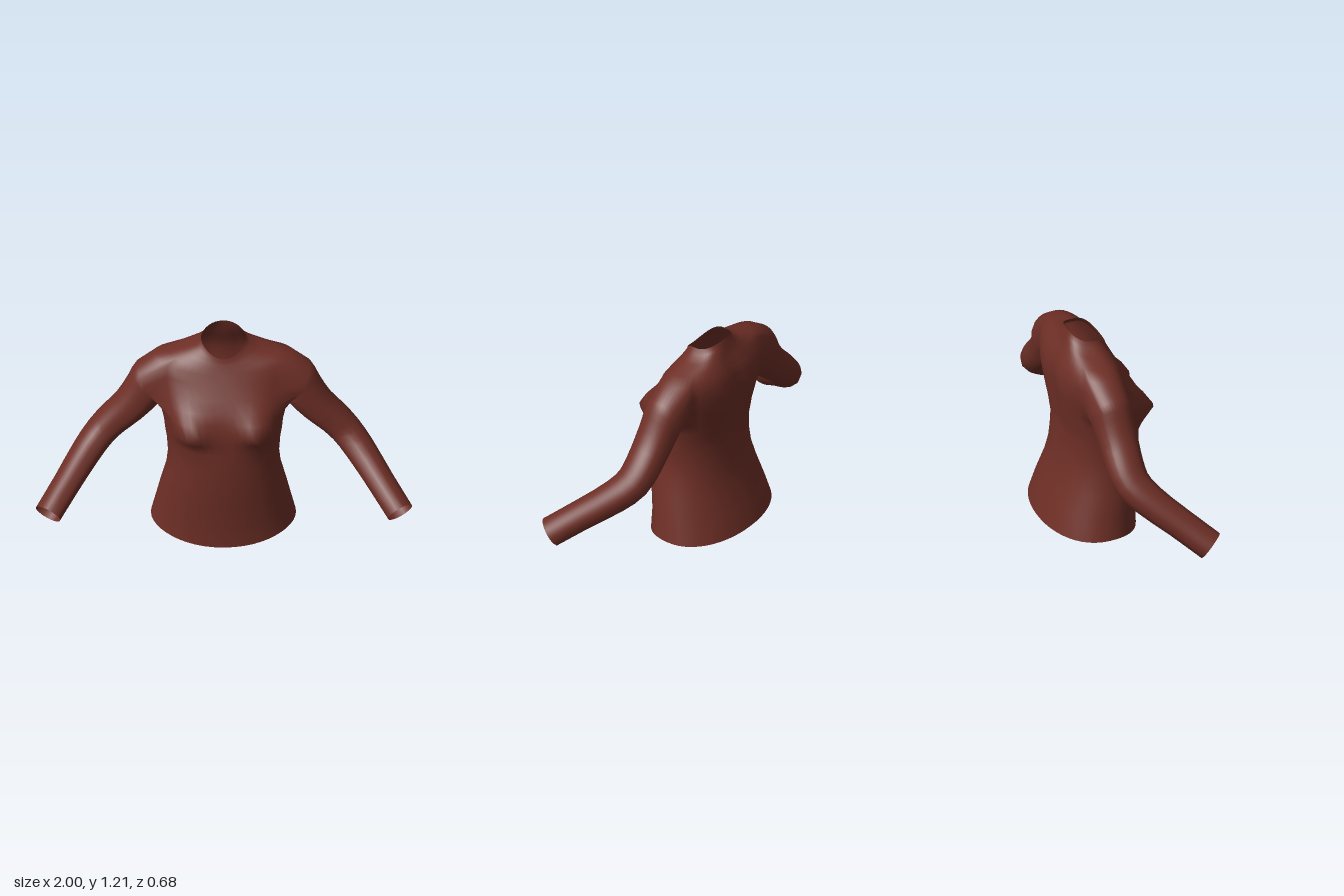
import * as THREE from 'three';

const COLS = 48;          // vertices around the body
const HALF = 5;           // half width of the armhole, in columns
const ROW0 = 8, ROW1 = 12; // armhole bottom and top rings

// Body rings, hem to collar: half width, front z, back z, then y at front, side, back
const RINGS = [
  [0.385, 0.18, -0.34, 0, 0.06, 0.06],
  [0.36, 0.18, -0.305, 0.12, 0.17, 0.18],
  [0.333, 0.198, -0.258, 0.27, 0.3, 0.31],
  [0.305, 0.205, -0.237, 0.4, 0.41, 0.42],
  [0.295, 0.21, -0.23, 0.5, 0.5, 0.5],
  [0.302, 0.208, -0.222, 0.6, 0.6, 0.6],
  [0.312, 0.208, -0.23, 0.66, 0.66, 0.66],
  [0.318, 0.208, -0.238, 0.72, 0.72, 0.72],
  [0.335, 0.195, -0.25, 0.785, 0.785, 0.79],
  [0.35, 0.175, -0.26, 0.84, 0.85, 0.86],
  [0.365, 0.14, -0.266, 0.9, 0.92, 0.93],
  [0.378, 0.1, -0.26, 0.97, 1.0, 1.0],
  [0.37, 0.075, -0.24, 1.015, 1.068, 1.055],
  [0.29, 0.06, -0.215, 1.045, 1.09, 1.1],
  [0.2, 0.047, -0.197, 1.07, 1.115, 1.145],
  [0.138, 0.042, -0.185, 1.085, 1.14, 1.18],
  [0.12, 0.037, -0.175, 1.1, 1.17, 1.21],
];

// Sleeve sections, shoulder to cuff: centre x, y, z, then outward and forward radii
const SLEEVE = [
  [0.405, 0.895, -0.08, 0.12, 0.12],
  [0.425, 0.845, -0.075, 0.11, 0.113],
  [0.5, 0.745, -0.072, 0.096, 0.107],
  [0.58, 0.665, -0.074, 0.088, 0.104],
  [0.65, 0.59, -0.06, 0.083, 0.1],
  [0.72, 0.515, 0.0, 0.08, 0.092],
  [0.83, 0.395, 0.14, 0.073, 0.084],
  [0.935, 0.28, 0.275, 0.071, 0.083],
];

const bell = (d, width) => Math.exp(-((d / width) ** 2));

function bodyPoint([hw, zf, zb, yf, ys, yb], j) {
  const a = (j / COLS) * Math.PI * 2;
  const c = Math.cos(a), s = Math.sin(a);
  const x = hw * Math.sign(c) * Math.abs(c) ** 0.95;
  const y = ys + ((s > 0 ? yf : yb) - ys) * s * s;
  let z = (zf + zb) / 2 + ((zf - zb) / 2) * Math.sign(s) * Math.abs(s) ** 0.92;
  if (s > 0) {
    // bust
    z += 0.085 * bell(Math.abs(x) - 0.19, 0.095) * bell(y - 0.715, y < 0.715 ? 0.055 : 0.1) * Math.min(1, s * 1.6);
  } else {
    // groove along the spine
    z += 0.024 * bell(x, 0.06) * bell(y - 0.86, 0.24);
  }
  return new THREE.Vector3(x, y, z);
}

function garmentGeometry() {
  const pos = [], index = [];
  const add = (v) => pos.push(v.x, v.y, v.z) / 3 - 1;
  const quad = (a, b, c, d) => index.push(a, b, c, a, c, d);
  const id = (r, j) => r * COLS + ((j + COLS) % COLS);

  // Body, leaving out the two armholes
  RINGS.forEach((ring) => {
    for (let j = 0; j < COLS; j++) add(bodyPoint(ring, j));
  });
  const inHole = (r, j) => {
    const k = (j + HALF) % (COLS / 2);
    return r >= ROW0 && r < ROW1 && k < 2 * HALF;
  };
  for (let r = 0; r < RINGS.length - 1; r++) {
    for (let j = 0; j < COLS; j++) {
      if (!inHole(r, j)) quad(id(r, j), id(r + 1, j), id(r + 1, j + 1), id(r, j + 1));
    }
  }

  // Sleeves, grown from the edge of each armhole
  const line = new THREE.CatmullRomCurve3(SLEEVE.map((p) => new THREE.Vector3(p[0], p[1], p[2])));
  const radii = new THREE.CatmullRomCurve3(SLEEVE.map((p) => new THREE.Vector3(p[3], p[4], 0)));
  const steps = (SLEEVE.length - 1) * 2;
  const startDir = new THREE.Vector3(0.88, -0.47, 0);
  const frames = [];
  for (let i = 0; i <= steps; i++) {
    const t = i / steps;
    const dir = line.getTangent(t);
    if (i < 3) dir.lerp(startDir, 1 - i / 3).normalize();
    const out = new THREE.Vector3(0, 0, 1).cross(dir).normalize();
    const fwd = dir.clone().cross(out);
    frames.push({ centre: line.getPoint(t), out, fwd, radius: radii.getPoint(t) });
  }

  for (const side of [1, -1]) {
    const col = (j) => (side > 0 ? j : COLS / 2 - j);
    const loop = [];
    for (let j = -HALF; j < HALF; j++) loop.push(id(ROW0, col(j)));
    for (let r = ROW0; r < ROW1; r++) loop.push(id(r, col(HALF)));
    for (let j = HALF; j > -HALF; j--) loop.push(id(ROW1, col(j)));
    for (let r = ROW1; r > ROW0; r--) loop.push(id(r, col(-HALF)));

    const angles = loop.map((k) => {
      const p = new THREE.Vector3(pos[k * 3] * side, pos[k * 3 + 1], pos[k * 3 + 2]).sub(frames[0].centre);
      return Math.atan2(p.dot(frames[0].out), p.dot(frames[0].fwd));
    });

    let prev = loop;
    for (const { centre, out, fwd, radius } of frames) {
      const ring = angles.map((a) => {
        const v = centre.clone()
          .addScaledVector(out, Math.sin(a) * radius.x)
          .addScaledVector(fwd, Math.cos(a) * radius.y);
        v.x *= side;
        return add(v);
      });
      ring.forEach((b, i) => {
        const n = (i + 1) % ring.length;
        if (side > 0) quad(prev[i], b, ring[n], prev[n]);
        else quad(prev[n], ring[n], b, prev[i]);
      });
      prev = ring;
    }
  }

  const geometry = new THREE.BufferGeometry();
  geometry.setAttribute('position', new THREE.Float32BufferAttribute(pos, 3));
  geometry.setIndex(index);
  geometry.computeVertexNormals();
  return geometry;
}

export function createModel() {
  const cloth = new THREE.MeshStandardMaterial({ color: 0x6e2f26, side: THREE.DoubleSide });
  cloth.name = 'russet cloth';

  const group = new THREE.Group();
  group.name = 'longSleevedTop';
  const top = new THREE.Mesh(garmentGeometry(), cloth);
  top.name = 'bodyAndSleeves';
  group.add(top);
  return group;
}
